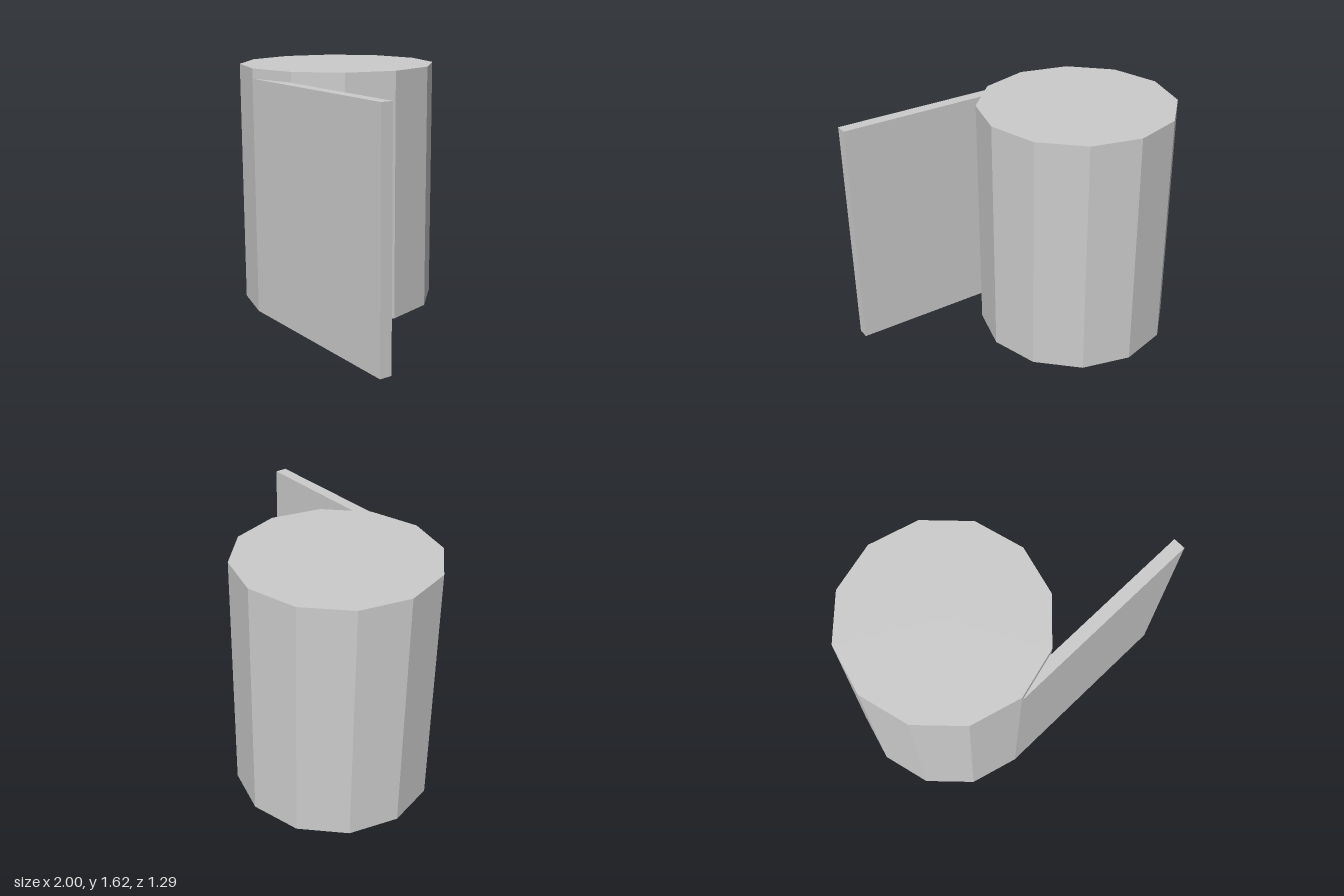
import * as THREE from 'three';

export function createModel() {
  const group = new THREE.Group();
  const grey = new THREE.MeshStandardMaterial({ color: 0xcccccc, flatShading: true });
  grey.name = 'light grey';

  const radius = 0.645, height = 1.615, centreX = -1 + radius;

  // Twelve-sided roll
  const roll = new THREE.Mesh(new THREE.CylinderGeometry(radius, radius, height, 12), grey);
  roll.name = 'roll';
  roll.position.set(centreX, height / 2, 0);
  group.add(roll);

  // Loose sheet leaving the front of the roll at a tangent
  const thickness = 0.08, sheetHeight = 1.55, length = 1 - centreX;
  const sheet = new THREE.Mesh(new THREE.BoxGeometry(length, sheetHeight, thickness), grey);
  sheet.name = 'looseSheet';
  sheet.position.set(centreX + length / 2, sheetHeight / 2, radius - thickness / 2);
  group.add(sheet);

  return group;
}
